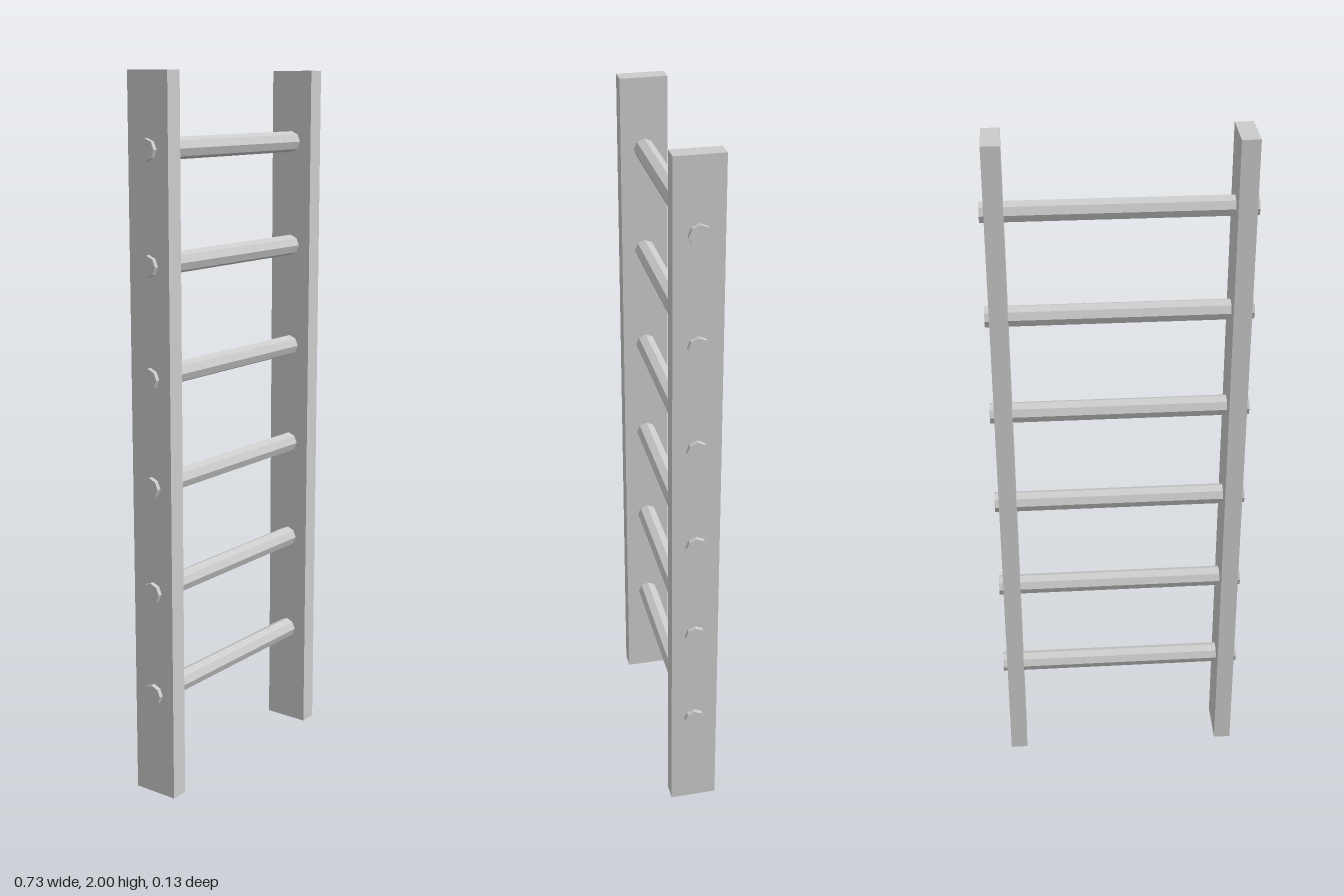
import * as THREE from 'three';

export function createModel() {
  const model = new THREE.Group();
  model.name = 'ladder';
  const material = new THREE.MeshStandardMaterial({ color: 0xcccccc, flatShading: true });

  // Two upright rails
  const railGeometry = new THREE.BoxGeometry(0.05, 2, 0.133);
  for (const side of [1, -1]) {
    const rail = new THREE.Mesh(railGeometry, material);
    rail.name = side > 0 ? 'leftRail' : 'rightRail';
    rail.position.set(side * 0.325, 1, 0);
    model.add(rail);
  }

  // Six eight-sided rungs, poking slightly through the rails
  const rungGeometry = new THREE.CylinderGeometry(0.0295, 0.0295, 0.726, 8);
  rungGeometry.rotateZ(Math.PI / 2);
  for (let i = 0; i < 6; i++) {
    const rung = new THREE.Mesh(rungGeometry, material);
    rung.name = `rung${i + 1}`;
    rung.position.y = 0.3 + i * 0.3;
    model.add(rung);
  }

  return model;
}
